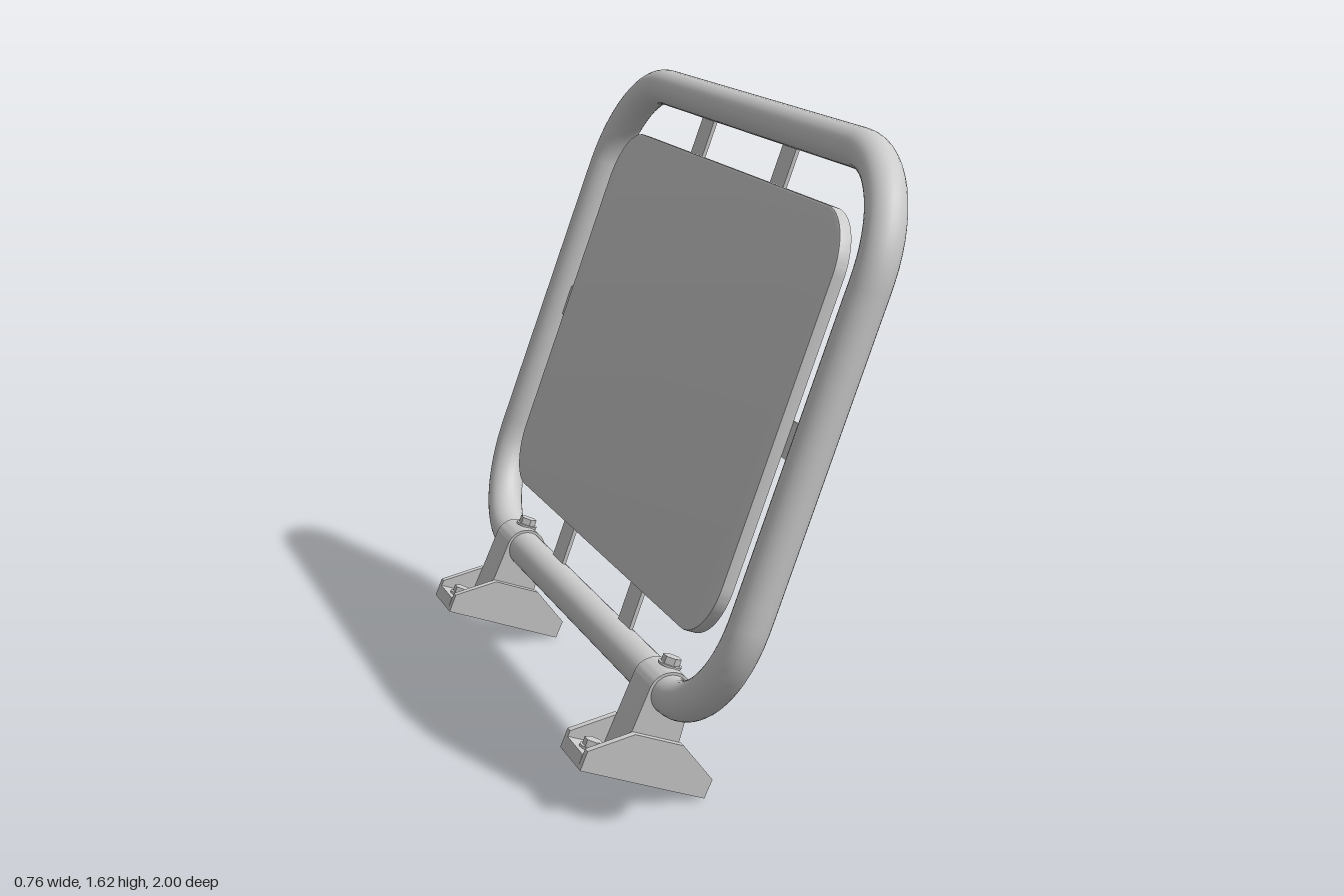
import * as THREE from 'three';
import { toCreasedNormals } from 'three/addons/utils/BufferGeometryUtils.js';

const material = new THREE.MeshStandardMaterial({ color: 0xcccccc });
const TILT = THREE.MathUtils.degToRad(20);
const HEIGHT = 1.384; // distance between lower and upper tube centres

function add(parent, name, geometry) {
  const mesh = new THREE.Mesh(geometry, material);
  mesh.name = name;
  parent.add(mesh);
  return mesh;
}

function roundedRect(w, h, r) {
  const s = new THREE.Shape();
  const x = w / 2 - r, y = h / 2 - r;
  s.absarc(x, -y, r, -Math.PI / 2, 0);
  s.absarc(x, y, r, 0, Math.PI / 2);
  s.absarc(-x, y, r, Math.PI / 2, Math.PI);
  s.absarc(-x, -y, r, Math.PI, Math.PI * 1.5);
  s.closePath();
  return s;
}

function polygon(points) {
  return new THREE.Shape(points.map(([x, y]) => new THREE.Vector2(x, y)));
}

function extrude(shape, depth, bevel = 0) {
  const g = new THREE.ExtrudeGeometry(shape, {
    depth: depth - 2 * bevel, curveSegments: 14,
    bevelEnabled: bevel > 0, bevelSize: bevel, bevelThickness: bevel, bevelOffset: -bevel, bevelSegments: 2,
  });
  g.translate(0, 0, bevel);
  return toCreasedNormals(g, 0.6);
}

// Bent tube running round the panel
function addFrame(parent) {
  const outline = roundedRect(1.9, HEIGHT, 0.28).getSpacedPoints(120).slice(0, -1);
  const path = new THREE.CatmullRomCurve3(
    outline.map((p) => new THREE.Vector3(0, p.y + HEIGHT / 2, p.x)), true);
  add(parent, 'tubeFrame', new THREE.TubeGeometry(path, 200, 0.05, 28, true));
}

// Flat panel with rounded corners
function addPanel(parent) {
  const g = extrude(roundedRect(1.62, 1.07, 0.15), 0.033, 0.004);
  g.rotateY(-Math.PI / 2);
  add(parent, 'panel', g).position.set(0, 0.7, 0.005);
}

// Thin strip with a round inner end; it starts at the tube and points along local +y
function addTab(parent, length, y, z, angle) {
  const r = 0.044;
  const s = new THREE.Shape();
  s.moveTo(-r, 0);
  s.lineTo(r, 0);
  s.absarc(0, length - r, r, 0, Math.PI);
  s.closePath();
  const g = extrude(s, 0.01);
  g.rotateY(-Math.PI / 2);
  const tab = add(parent, 'panelTab', g);
  tab.position.set(0.009, y, z);
  tab.rotation.x = angle;
}

function addBolt(parent, x, y) {
  const washer = add(parent, 'washer', new THREE.CylinderGeometry(0.03, 0.03, 0.006, 24));
  washer.position.set(x, y + 0.003, 0);
  const head = add(parent, 'boltHead', new THREE.CylinderGeometry(0.024, 0.024, 0.022, 6).toNonIndexed());
  head.geometry.computeVertexNormals();
  head.position.set(x, y + 0.013, 0);
}

// Mounting foot: cheeks, hollow base, clamp over the tube, bolts
function addFoot(parent, z) {
  const foot = new THREE.Group();
  foot.name = 'mountingFoot';
  foot.position.z = z;
  parent.add(foot);

  const cheek = polygon([[-0.168, -0.228], [0.17, -0.228], [0.174, -0.177],
    [0.07, -0.11], [-0.062, -0.11], [-0.166, -0.177]]);
  for (const side of [-1, 1]) {
    add(foot, 'footCheek', extrude(cheek, 0.02)).position.z = side * 0.07 - 0.01;
  }

  // Rim around the recess under the base plate
  const rim = roundedRect(0.336, 0.122, 0.002);
  rim.holes.push(roundedRect(0.24, 0.08, 0.002));
  const rimGeometry = extrude(rim, 0.03);
  rimGeometry.rotateX(-Math.PI / 2);
  add(foot, 'baseRim', rimGeometry).position.y = -0.228;
  add(foot, 'basePlate', new THREE.BoxGeometry(0.336, 0.012, 0.122)).position.y = -0.198;

  const clamp = new THREE.Shape();
  clamp.moveTo(-0.07, -0.195);
  clamp.lineTo(0.07, -0.195);
  clamp.absarc(0, 0, 0.057, 0, Math.PI);
  clamp.closePath();
  add(foot, 'tubeClamp', extrude(clamp, 0.12)).position.z = -0.06;

  addBolt(foot, 0, 0.055);
  for (const side of [-1, 1]) addBolt(foot, side * 0.125, -0.192);
}

export function createModel() {
  const model = new THREE.Group();
  model.name = 'tiltedPanelFrame';

  // Everything is built upright, then leaned over as one
  const leaning = new THREE.Group();
  leaning.name = 'leaningAssembly';
  leaning.position.set(-0.15, 0.275, 0);
  leaning.rotation.z = -TILT;
  model.add(leaning);

  addFrame(leaning);
  addPanel(leaning);
  for (const z of [0.276, -0.297]) {
    addTab(leaning, 0.24, 0.03, z, 0);
    addTab(leaning, 0.24, HEIGHT - 0.03, z, Math.PI);
  }
  for (const side of [-1, 1]) {
    addTab(leaning, 0.22, 0.694, side * 0.92, -side * Math.PI / 2);
    addFoot(leaning, side * 0.615);
  }
  return model;
}
